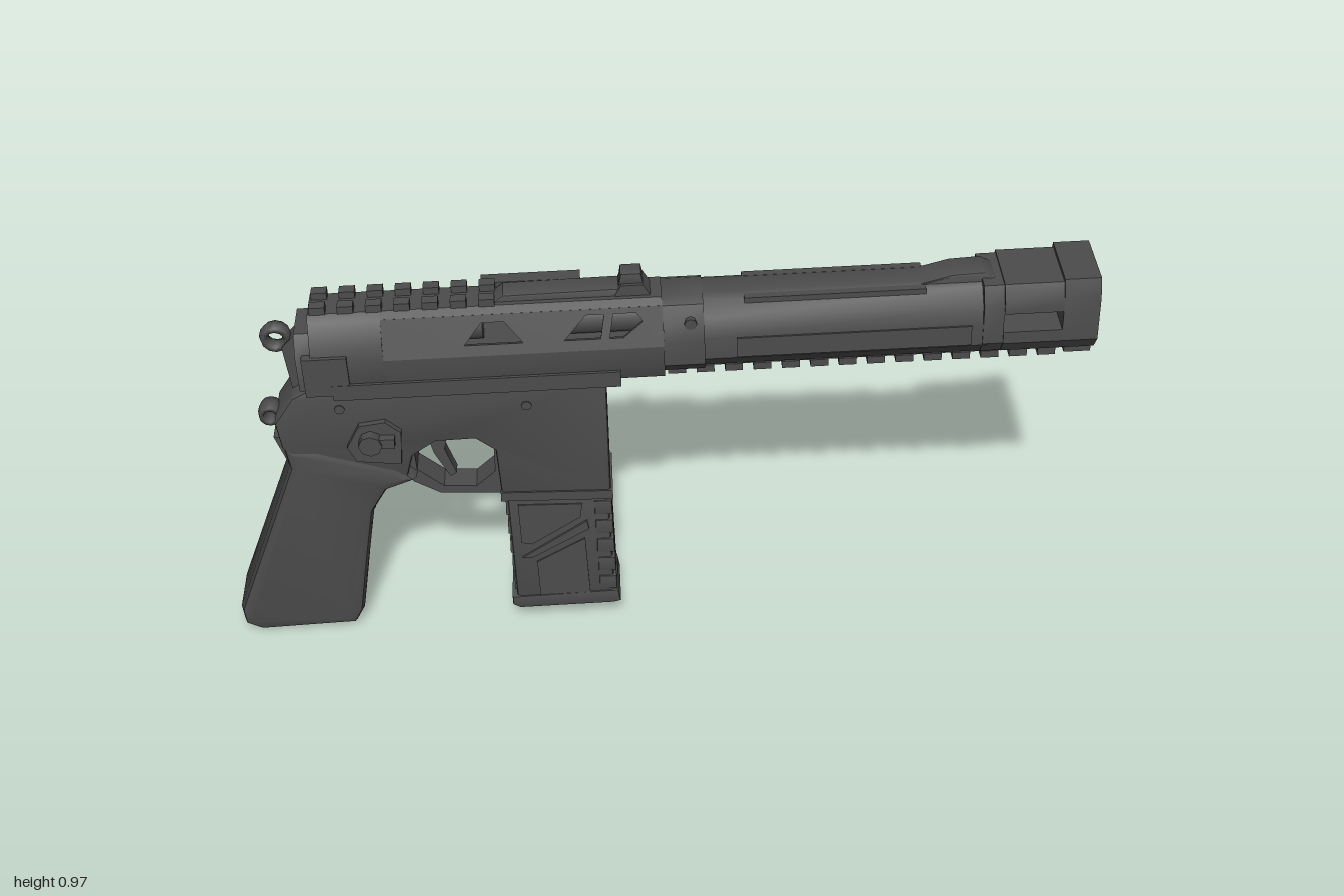
import * as THREE from 'three';
import { toCreasedNormals } from 'three/addons/utils/BufferGeometryUtils.js';

const metal = new THREE.MeshStandardMaterial({ color: 0x4c4c4c });
metal.name = 'dark grey metal';

function add(parent, name, geometry) {
  const m = new THREE.Mesh(geometry, metal);
  m.name = name;
  parent.add(m);
  return m;
}

const toShape = (pts) => new THREE.Shape(pts.map(([x, y]) => new THREE.Vector2(x, y)));

// Side outline extruded across z, centred, with an optional chamfer inside the outline
function slab(pts, half, bevel = 0, holes = []) {
  const s = toShape(pts);
  holes.forEach((h) => s.holes.push(toShape(h)));
  const depth = 2 * (half - bevel);
  const g = new THREE.ExtrudeGeometry(s, {
    depth, bevelEnabled: bevel > 0, bevelThickness: bevel, bevelSize: bevel, bevelOffset: -bevel, bevelSegments: 2,
  });
  return toCreasedNormals(g.translate(0, 0, -depth / 2), 0.6);
}

// Symmetrical cross-section [half width, y] extruded along x
function prism(half, x0, x1) {
  const pts = [...half, ...half.map(([z, y]) => [-z, y]).reverse()];
  const g = new THREE.ExtrudeGeometry(toShape(pts), { depth: x1 - x0, bevelEnabled: false });
  return toCreasedNormals(g.rotateY(Math.PI / 2).translate(x0, 0, 0), 0.6);
}

const box = (x0, x1, y0, y1, z0, z1) =>
  new THREE.BoxGeometry(x1 - x0, y1 - y0, z1 - z0).translate((x0 + x1) / 2, (y0 + y1) / 2, (z0 + z1) / 2);

const rodX = (r, x0, x1, y, n = 16) =>
  new THREE.CylinderGeometry(r, r, x1 - x0, n).rotateZ(Math.PI / 2).translate((x0 + x1) / 2, y, 0);

const rodZ = (r, x, y, z0, z1, n = 8) =>
  new THREE.CylinderGeometry(r, r, z1 - z0, n).rotateX(Math.PI / 2).translate(x, y, (z0 + z1) / 2);

function buildUpper() {
  const u = new THREE.Group();
  u.name = 'upperBody';
  u.rotation.z = 0.036;

  // Rear body and its end steps
  const lower = [[0.05, 0.727], [0.08, 0.742], [0.092, 0.775], [0.092, 0.83]];
  const full = [...lower, [0.082, 0.865], [0.058, 0.915], [0.04, 0.928]];
  add(u, 'rearBody', prism(full, -0.74, -0.58));
  add(u, 'rearCap', prism([[0.05, 0.735], [0.08, 0.75], [0.08, 0.84], [0.05, 0.885]], -0.775, -0.74));

  // Hollow middle section
  add(u, 'lowerBody', prism(lower, -0.58, 0.04));
  add(u, 'topStrip', prism([[0.045, 0.9], [0.058, 0.915], [0.04, 0.928]], -0.58, 0.04));
  const tilt = Math.atan2(0.034, 0.085);
  const outline = [[-0.58, 0], [0.04, 0], [0.04, 0.093], [-0.58, 0.093]];
  const sidePlate = (holes) => {
    const s = toShape(outline);
    holes.forEach((h) => s.holes.push(toShape(h)));
    return new THREE.ExtrudeGeometry(s, { depth: 0.015, bevelEnabled: false });
  };
  const windows = [
    [[-0.4, 0.025], [-0.27, 0.025], [-0.31, 0.075], [-0.36, 0.075]],
    [[-0.18, 0.025], [-0.1, 0.025], [-0.09, 0.08], [-0.13, 0.08]],
    [[-0.08, 0.025], [-0.05, 0.025], [-0.005, 0.06], [-0.02, 0.08], [-0.07, 0.08]],
  ];
  const port = [[-0.37, 0.01], [-0.07, 0.01], [-0.05, 0.04], [-0.08, 0.085], [-0.35, 0.085]];
  add(u, 'leftWindowPlate', sidePlate(windows).translate(0, 0, -0.015).rotateX(-tilt).translate(0, 0.83, 0.092));
  add(u, 'rightPortPlate', sidePlate([port]).rotateX(tilt).translate(0, 0.83, -0.092));
  add(u, 'bolt', rodX(0.04, -0.27, 0.04, 0.862));
  add(u, 'boltRear', rodX(0.04, -0.58, -0.36, 0.862));
  for (const s of [-1, 1]) {
    const z = (a, b) => (s > 0 ? [a, b] : [-b, -a]);
    add(u, 'sideRail', box(-0.7, -0.06, 0.732, 0.772, ...z(0.06, 0.098)));
    add(u, 'rearSideBlock', box(-0.76, -0.66, 0.745, 0.845, ...z(0.07, 0.097)));
    add(u, 'frontSidePanel', box(0.2, 0.72, 0.79, 0.84, ...z(0.07, 0.089)));
    add(u, 'topRidge', box(0.22, 0.62, 0.9, 0.922, ...z(0.035, 0.053)));
    add(u, 'jointPin', rodZ(0.014, 0.1, 0.878, ...z(0.06, 0.082)));
    for (let i = 0; i < 7; i++) {
      add(u, 'railTooth', box(-0.735 + i * 0.062, -0.7 + i * 0.062, 0.92, 0.945, ...z(0.016, 0.042)));
    }
  }

  // Barrel shroud
  add(u, 'shroudCollar', prism([[0.055, 0.74], [0.088, 0.775], [0.09, 0.835], [0.08, 0.872], [0.057, 0.915], [0.035, 0.926]], 0.04, 0.13));
  add(u, 'barrelShroud', prism([[0.055, 0.75], [0.084, 0.785], [0.085, 0.84], [0.073, 0.885], [0.045, 0.918], [0.025, 0.925]], 0.13, 0.76));
  add(u, 'shroudTopBump', slab([[0.6, 0.92], [0.68, 0.942], [0.75, 0.945], [0.79, 0.92]], 0.035, 0.005));

  // Muzzle block with a slot through both sides
  const base = [[0.062, 0.752], [0.09, 0.79]];
  const roof = [[0.09, 0.9], [0.075, 0.943]];
  add(u, 'muzzleRear', prism([[0.06, 0.752], [0.087, 0.79], [0.087, 0.885], [0.065, 0.93]], 0.745, 0.79));
  add(u, 'muzzleBottom', prism([...base, [0.09, 0.82]], 0.79, 0.92));
  add(u, 'muzzleTop', prism([[0.09, 0.868], [0.09, 0.895], [0.07, 0.934]], 0.79, 0.92));
  add(u, 'muzzleFront', prism([...base, ...roof], 0.92, 1.0));
  add(u, 'muzzleTab', box(0.94, 1.0, 0.72, 0.76, -0.036, 0.036));
  add(u, 'boreDisc', rodX(0.043, 0.97, 1.003, 0.832, 10));

  // Ridged rail below the barrel
  add(u, 'lowerRail', box(-0.08, 0.95, 0.734, 0.765, -0.036, 0.036));
  for (let i = 0; i < 16; i++) {
    add(u, 'lowerRailTooth', box(-0.08 + i * 0.064, -0.04 + i * 0.064, 0.718, 0.736, -0.04, 0.04));
  }

  // Sights and the cover above the side port
  add(u, 'topCover', slab([[-0.34, 0.92], [-0.31, 0.943], [-0.06, 0.946], [0.02, 0.92]], 0.028, 0.004));
  add(u, 'portCover', box(-0.36, -0.14, 0.915, 0.94, -0.066, -0.032));
  add(u, 'sightBase', slab([[-0.07, 0.92], [-0.05, 0.955], [0.0, 0.955], [0.02, 0.92]], 0.03));
  add(u, 'frontSight', slab([[-0.055, 0.95], [-0.05, 0.98], [-0.005, 0.98], [0, 0.95]], 0.022, 0.005));
  return u;
}

function buildLower() {
  const l = new THREE.Group();
  l.name = 'lowerBody';

  // Frame with the magazine well
  add(l, 'frame', slab([[-0.79, 0.71], [-0.12, 0.74], [-0.112, 0.39], [-0.365, 0.385], [-0.375, 0.53], [-0.42, 0.565],
    [-0.51, 0.56], [-0.565, 0.52], [-0.58, 0.46], [-0.66, 0.465], [-0.79, 0.47], [-0.86, 0.55], [-0.87, 0.62], [-0.825, 0.69]], 0.067, 0.008));
  add(l, 'wellLip', box(-0.368, -0.108, 0.385, 0.41, -0.071, 0.071));

  // Trigger guard and trigger
  add(l, 'triggerGuard', slab([[-0.6, 0.47], [-0.57, 0.42], [-0.51, 0.385], [-0.36, 0.38], [-0.36, 0.54], [-0.42, 0.58], [-0.53, 0.58], [-0.6, 0.53]],
    0.032, 0, [[[-0.565, 0.52], [-0.52, 0.555], [-0.42, 0.558], [-0.38, 0.52], [-0.38, 0.445], [-0.425, 0.402], [-0.5, 0.405], [-0.56, 0.455]]]));
  add(l, 'trigger', slab([[-0.54, 0.57], [-0.48, 0.57], [-0.495, 0.5], [-0.47, 0.43], [-0.485, 0.42], [-0.52, 0.49]], 0.016));

  // Grip, widening towards its foot
  const grip = slab([[-0.86, 0.55], [-0.85, 0.49], [-1.005, 0.07], [-1.0, 0.025], [-0.96, 0.005], [-0.73, 0.02], [-0.71, 0.06],
    [-0.69, 0.2], [-0.665, 0.36], [-0.63, 0.42], [-0.56, 0.45], [-0.6, 0.49], [-0.78, 0.55]], 0.075, 0.022);
  const p = grip.attributes.position;
  for (let i = 0; i < p.count; i++) p.setZ(i, p.getZ(i) * (1.1 - 0.4 * Math.max(0, p.getY(i) - 0.1)));
  add(l, 'grip', grip);
  [[-0.71, 0.145], [-0.69, 0.27], [-0.67, 0.37]].forEach(([x, y]) => {
    add(l, 'fingerRidge', slab([[x - 0.05, y - 0.012], [x + 0.008, y - 0.008], [x + 0.011, y + 0.006], [x - 0.05, y + 0.002]], 0.058, 0.003));
  });
  add(l, 'gripTang', slab([[-0.88, 0.565], [-0.83, 0.56], [-0.82, 0.47], [-0.85, 0.48]], 0.04));

  // Hammer and rear loop
  add(l, 'hammerStalk', slab([[-0.84, 0.8], [-0.79, 0.855], [-0.785, 0.7], [-0.825, 0.68]], 0.022));
  add(l, 'hammerRing', new THREE.TorusGeometry(0.026, 0.011, 6, 12).scale(1, 1, 1.8).translate(-0.853, 0.818, 0));
  add(l, 'rearLoop', new THREE.TorusGeometry(0.02, 0.009, 6, 12).scale(1, 1, 3).translate(-0.885, 0.61, 0));

  // Selector and pins
  add(l, 'selectorPlate', slab([[-0.71, 0.56], [-0.69, 0.52], [-0.59, 0.51], [-0.585, 0.6], [-0.62, 0.63], [-0.68, 0.62]], 0.008).translate(0, 0, 0.073));
  add(l, 'selectorKnob', rodZ(0.027, -0.655, 0.58, 0.06, 0.105));
  add(l, 'selectorLever', box(-0.66, -0.6, 0.57, 0.595, 0.075, 0.1));
  add(l, 'magazineCatch', box(-0.37, -0.33, 0.54, 0.57, -0.08, -0.06));
  for (const x of [-0.72, -0.3]) add(l, 'framePin', rodZ(0.012, x, 0.66, -0.07, 0.07));
  return l;
}

function buildMagazine() {
  const m = new THREE.Group();
  m.name = 'magazine';
  add(m, 'magazineBody', slab([[-0.355, 0.42], [-0.12, 0.42], [-0.105, 0.07], [-0.34, 0.06]], 0.066, 0.008));
  add(m, 'magazineFoot', slab([[-0.353, 0.085], [-0.098, 0.1], [-0.092, 0.065], [-0.11, 0.06], [-0.335, 0.05], [-0.352, 0.06]], 0.07, 0.005));
  for (let i = 0; i < 5; i++) {
    const y = 0.355 - i * 0.058, x = -0.1 - (y - 0.07) * 0.04;
    add(m, 'frontRib', slab([[x - 0.04, y - 0.018], [x + 0.002, y - 0.02], [x, y + 0.022], [x - 0.04, y + 0.022]], 0.069, 0.003));
    add(m, 'backRib', box(-0.358 + i * 0.003, -0.32, y - 0.02, y + 0.02, -0.06, 0.06));
  }
  // Raised side panels and the slanted bar
  add(m, 'slantedBar', slab([[-0.325, 0.21], [-0.3, 0.21], [-0.165, 0.295], [-0.17, 0.32]], 0.071));
  add(m, 'lowerPanel', slab([[-0.285, 0.09], [-0.165, 0.095], [-0.175, 0.265], [-0.29, 0.195]], 0.069));
  add(m, 'upperPanel', slab([[-0.325, 0.255], [-0.3, 0.25], [-0.185, 0.33], [-0.18, 0.37], [-0.33, 0.37]], 0.069));
  return m;
}

export function createModel() {
  const model = new THREE.Group();
  model.name = 'pistol';
  const body = new THREE.Group();
  body.name = 'turnedBody';
  body.rotation.y = 0.069;
  body.add(buildUpper(), buildLower(), buildMagazine());
  model.add(body);
  return model;
}
